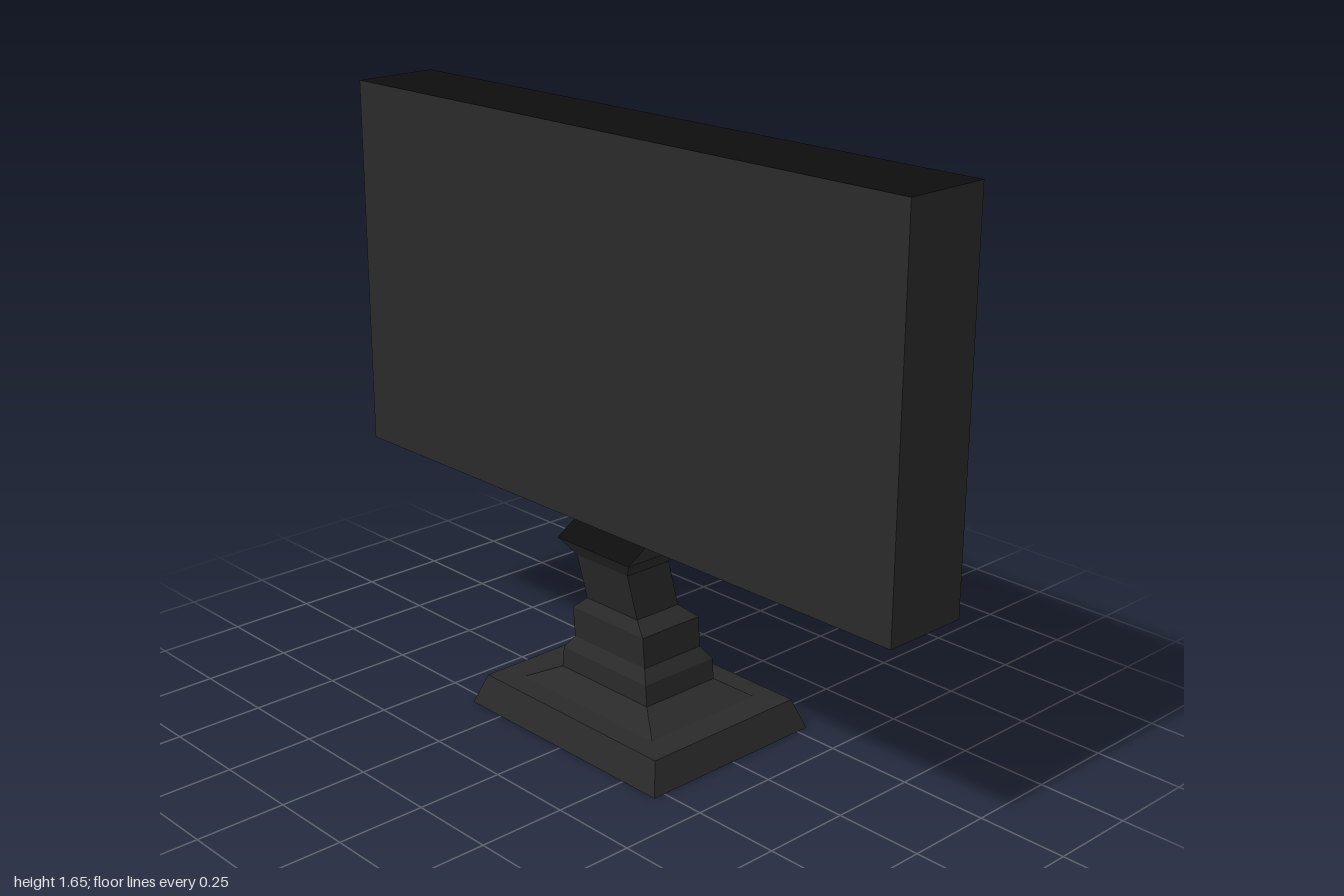
import * as THREE from 'three';

const body = new THREE.MeshStandardMaterial({ color: 0x2a2a2a, flatShading: true });
const black = new THREE.MeshStandardMaterial({ color: 0x0d0d0d, flatShading: true });

// Flat polygons with four corners, given counter-clockwise from outside
function quads(name, list, material) {
  const pos = [];
  for (const [a, b, c, d] of list) pos.push(...a, ...b, ...c, ...a, ...c, ...d);
  const g = new THREE.BufferGeometry();
  g.setAttribute('position', new THREE.Float32BufferAttribute(pos, 3));
  g.computeVertexNormals();
  const mesh = new THREE.Mesh(g, material);
  mesh.name = name;
  return mesh;
}

// One side of the band between two rings
const side = (r0, r1, i) => {
  const j = (i + 1) % 4;
  return [r0[i], r0[j], r1[j], r1[i]];
};

// Closed start, open end; skip(segment, side) leaves a face out
function loft(rings, skip) {
  const list = [[...rings[0]].reverse()];
  for (let s = 0; s < rings.length - 1; s++)
    for (let i = 0; i < 4; i++)
      if (!skip(s, i)) list.push(side(rings[s], rings[s + 1], i));
  return list;
}

// Sides run +x, -z, -x, +z
const levelRing = ([y, x0, x1, z]) => [[x1, y, z], [x1, y, -z], [x0, y, -z], [x0, y, z]];
// Sides run -z, top, +z, bottom
const uprightRing = ([x, y0, y1, z]) => [[x, y0, -z], [x, y1, -z], [x, y1, z], [x, y0, z]];

export function createModel() {
  const group = new THREE.Group();

  // Stand: foot, stepped column, leaning neck and head
  const stand = [
    [0, -0.285, 0.285, 0.37],
    [0.085, -0.255, 0.255, 0.34],
    [0.087, -0.19, 0.19, 0.26],
    [0.13, -0.125, 0.125, 0.17],
    [0.19, -0.125, 0.125, 0.165],
    [0.225, -0.105, 0.1, 0.14],
    [0.315, -0.112, 0.095, 0.14],
    [0.35, -0.095, 0.055, 0.1],
    [0.487, -0.13, 0.02, 0.1],
    [0.535, -0.163, 0.045, 0.14],
    [0.592, -0.07, 0.042, 0.14],
  ].map(levelRing);
  const last = stand.length - 2;
  group.add(quads('stand', loft(stand, (s, i) => s === last && i === 2), body));
  group.add(quads('standHeadBack', [side(stand[last], stand[last + 1], 2)], black));

  // Casing: back, sides, raised bezel and recess walls
  const casing = [
    [-0.135, 0.59, 1.65, 1],
    [0.113, 0.59, 1.652, 1],
    [0.118, 0.637, 1.605, 0.952],
    [0.09, 0.637, 1.605, 0.952],
  ].map(uprightRing);
  group.add(quads('casing', loft(casing, (s, i) => s === 0 && i === 1), body));
  group.add(quads('casingTop', [side(casing[0], casing[1], 1)], black));
  group.add(quads('screen', [casing[3]], black));

  return group;
}
